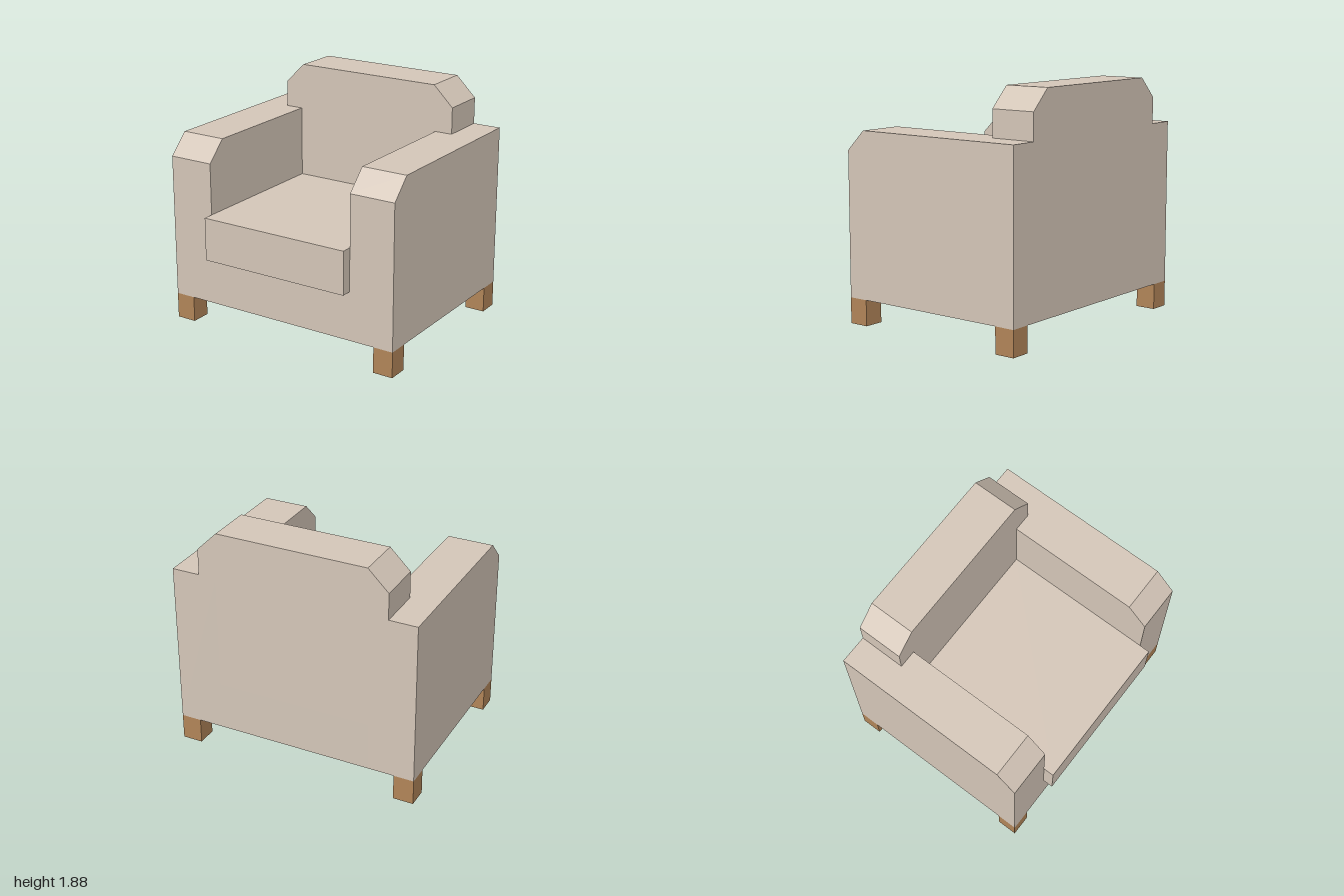
import * as THREE from 'three';

const fabric = new THREE.MeshStandardMaterial({ color: 0xd3c5b7, flatShading: true });
const wood = new THREE.MeshStandardMaterial({ color: 0xb08458, flatShading: true });

// Main levels and planes
const LEG_H = 0.205, BASE_TOP = 0.595, SEAT_TOP = 0.94, ARM_TOP = 1.51, TOP = 1.88;
const BACK = -0.84, BACK_FRONT = -0.47, FRONT = 0.755, CUSHION_FRONT = 0.84;
const INNER = 0.63, CUT = 0.16, LEG = 0.163;

function extrude(points, depth) {
  const shape = new THREE.Shape(points.map(([x, y]) => new THREE.Vector2(x, y)));
  return new THREE.ExtrudeGeometry(shape, { depth, bevelEnabled: false });
}

export function createModel() {
  const group = new THREE.Group();

  const add = (name, geometry, material) => {
    const mesh = new THREE.Mesh(geometry, material);
    mesh.name = name;
    group.add(mesh);
  };
  // Box given by its low and high corner
  const box = (name, [x0, y0, z0], [x1, y1, z1], material) => {
    const g = new THREE.BoxGeometry(x1 - x0, y1 - y0, z1 - z0);
    add(name, g.translate((x0 + x1) / 2, (y0 + y1) / 2, (z0 + z1) / 2), material);
  };

  // Base between the arms and the protruding cushion
  box('seatBase', [-INNER, LEG_H, BACK], [INNER, BASE_TOP, FRONT], fabric);
  box('seatCushion', [-INNER, BASE_TOP, BACK_FRONT], [INNER, SEAT_TOP, CUSHION_FRONT], fabric);

  // Backrest: chamfered top corners, overhanging the arms
  const half = [[INNER, BASE_TOP], [INNER, ARM_TOP], [0.773, ARM_TOP], [0.773, TOP - CUT], [0.61, TOP]];
  const outline = [...half, ...half.map(([x, y]) => [-x, y]).reverse()];
  add('backrest', extrude(outline, BACK_FRONT - BACK).translate(0, 0, BACK), fabric);

  // Arms: side profile (z, y) with a chamfered front edge, extruded sideways
  const armProfile = [[BACK, LEG_H], [FRONT, LEG_H], [FRONT, ARM_TOP - CUT], [FRONT - CUT, ARM_TOP], [BACK, ARM_TOP]];
  for (const [name, outerX] of [['leftArm', 1], ['rightArm', -INNER]]) {
    add(name, extrude(armProfile, 1 - INNER).rotateY(-Math.PI / 2).translate(outerX, 0, 0), fabric);
  }

  // Square legs flush with the corners
  for (const [side, x] of [['Left', 1 - LEG], ['Right', -1]]) {
    for (const [end, z] of [['front', FRONT - LEG], ['back', BACK]]) {
      box(`${end}${side}Leg`, [x, 0, z], [x + LEG, LEG_H, z + LEG], wood);
    }
  }
  return group;
}
